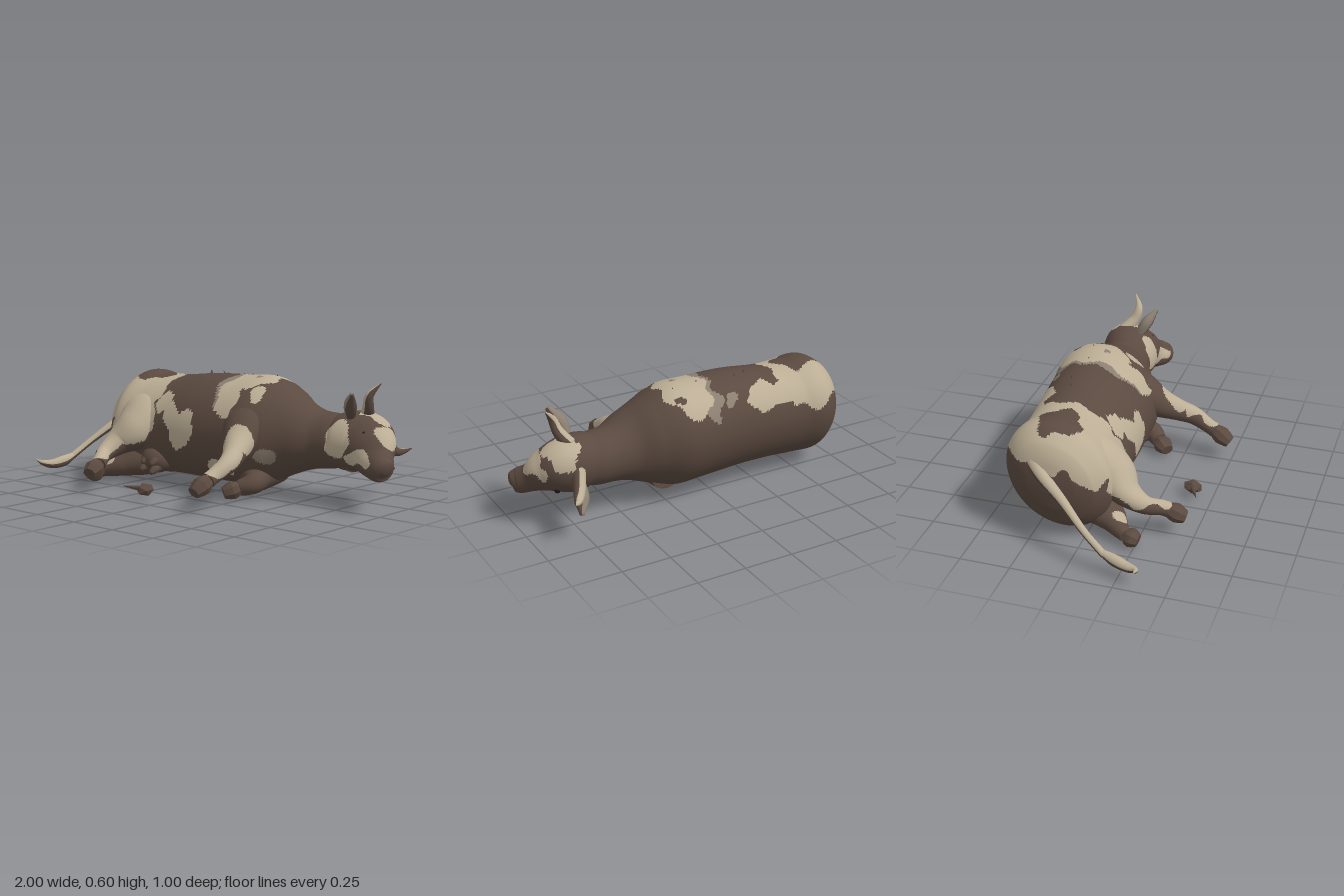
import * as THREE from 'three';

const mat = (name, color) => Object.assign(new THREE.MeshStandardMaterial({ color }), { name });
const brown = mat('brown hide', 0x5b4a40);
const cream = mat('cream hide', 0xbcae95);
const taupe = mat('taupe hide', 0x8b7f71);
const black = mat('eye black', 0x1c1815);
const hide = [brown, cream, taupe];

// Hide patches: ellipsoids x, y, z, rx, ry, rz, index into hide; later ones win
const trunkPatches = [
  [-0.56, 0.49, -0.12, 0.21, 0.18, 0.34, 1], // rump
  [-0.66, 0.40, 0.00, 0.09, 0.10, 0.17, 1],
  [-0.50, 0.35, 0.11, 0.14, 0.14, 0.15, 1], // thigh
  [-0.30, 0.55, -0.37, 0.20, 0.12, 0.08, 1], // spine
  [-0.55, 0.55, -0.15, 0.115, 0.20, 0.105, 0], // hip
  [-0.33, 0.46, 0.08, 0.06, 0.07, 0.07, 1], // flank, running down and forward
  [-0.25, 0.39, 0.13, 0.08, 0.08, 0.08, 1],
  [-0.16, 0.32, 0.13, 0.08, 0.11, 0.09, 1],
  [0.04, 0.50, -0.16, 0.06, 0.14, 0.29, 2],
  [0.14, 0.57, -0.24, 0.12, 0.13, 0.23, 1], // withers
  [0.08, 0.49, 0.00, 0.07, 0.13, 0.14, 1],
  [0.25, 0.51, -0.04, 0.04, 0.06, 0.06, 1],
  [0.08, 0.14, 0.05, 0.08, 0.04, 0.10, 1], // belly
  [0.33, 0.24, 0.03, 0.06, 0.05, 0.05, 2], // chest
  [0.20, 0.57, -0.33, 0.03, 0.05, 0.03, 0],
  [0.14, 0.56, -0.17, 0.025, 0.05, 0.025, 2],
  [-0.05, 0.55, -0.36, 0.04, 0.06, 0.05, 2],
  [0.36, 0.48, -0.20, 0.03, 0.04, 0.03, 2],
];
const limbAndHeadPatches = [
  [0.31, 0.33, 0.18, 0.10, 0.09, 0.09, 1], // front leg
  [0.33, 0.25, 0.28, 0.10, 0.055, 0.08, 1],
  [0.31, 0.20, 0.36, 0.06, 0.035, 0.05, 1],
  [-0.54, 0.28, 0.17, 0.13, 0.08, 0.11, 1], // hind leg
  [-0.54, 0.215, 0.27, 0.10, 0.045, 0.09, 1],
  [-0.50, 0.185, 0.35, 0.05, 0.035, 0.06, 1],
  [-0.63, 0.135, 0.19, 0.06, 0.03, 0.08, 1],
  [0.70, 0.33, -0.07, 0.07, 0.10, 0.09, 1], // cheek
  [0.84, 0.25, -0.06, 0.09, 0.035, 0.08, 1],
  [0.81, 0.41, -0.28, 0.075, 0.10, 0.12, 1], // forehead
  [0.90, 0.33, -0.19, 0.06, 0.07, 0.08, 1], // blaze
  [0.83, 0.36, -0.12, 0.045, 0.05, 0.05, 0], // eye surround
  [0.87, 0.34, -0.21, 0.03, 0.04, 0.03, 0],
];
const patches = [...trunkPatches, ...limbAndHeadPatches];

function hideAt(x, y, z) {
  const wx = x + 0.014 * Math.sin(43 * z + 19 * y) + 0.005 * Math.sin(75 * y);
  const wy = y + 0.014 * Math.sin(37 * x + 23 * z);
  const wz = z + 0.014 * Math.sin(41 * x + 29 * y) + 0.005 * Math.sin(72 * x);
  let found = 0;
  for (const [px, py, pz, rx, ry, rz, c] of patches) {
    if (((wx - px) / rx) ** 2 + ((wy - py) / ry) ** 2 + ((wz - pz) / rz) ** 2 < 1) found = c;
  }
  return found;
}

// Smooth skin over sections [x, y, z, ra, rb]; ra lies along the ref direction
function loft(sections, ref, rings, sides) {
  const s = sections.map(([x, y, z, a, b = a]) => [x, y, z, a, b]);
  const path = new THREE.CatmullRomCurve3(s.map(p => new THREE.Vector3(p[0], p[1], p[2])));
  const radii = new THREE.CatmullRomCurve3(s.map(p => new THREE.Vector3(p[3], p[4], 0)), false, 'catmullrom', 0.5);
  const pos = [], index = [];
  for (let i = -1; i <= rings + 1; i++) {
    const t = Math.min(Math.max(i / rings, 0), 1);
    const closed = i < 0 || i > rings ? 0 : 1;
    const c = path.getPoint(t), r = radii.getPoint(t), d = path.getTangent(t);
    const u = new THREE.Vector3(...ref).addScaledVector(d, -d.dot(new THREE.Vector3(...ref))).normalize();
    const v = new THREE.Vector3().crossVectors(d, u);
    for (let j = 0; j < sides; j++) {
      const a = j / sides * Math.PI * 2;
      const p = c.clone()
        .addScaledVector(u, closed * Math.max(r.x, 0) * Math.cos(a))
        .addScaledVector(v, closed * Math.max(r.y, 0) * Math.sin(a));
      pos.push(p.x, p.y, p.z);
    }
  }
  for (let i = 0; i < rings + 2; i++) for (let j = 0; j < sides; j++) {
    const a = i * sides + j, b = i * sides + (j + 1) % sides;
    index.push(a, b, a + sides, b, b + sides, a + sides);
  }
  const g = new THREE.BufferGeometry();
  g.setAttribute('position', new THREE.Float32BufferAttribute(pos, 3));
  g.setIndex(index);
  g.computeVertexNormals();
  return g;
}

// Sort the faces into one material group per hide colour
function paint(g, pick = hideAt) {
  const p = g.attributes.position, old = g.index.array, bins = [[], [], []];
  const mid = (get, i) => (get(old[i]) + get(old[i + 1]) + get(old[i + 2])) / 3;
  for (let i = 0; i < old.length; i += 3) {
    const c = pick(mid(k => p.getX(k), i), mid(k => p.getY(k), i), mid(k => p.getZ(k), i), i);
    bins[c].push(old[i], old[i + 1], old[i + 2]);
  }
  g.setIndex(bins.flat());
  let start = 0;
  bins.forEach((b, m) => { if (b.length) g.addGroup(start, b.length, m); start += b.length; });
  return g;
}

export function createModel() {
  const cow = new THREE.Group();
  cow.name = 'lyingCow';
  const add = (name, geometry, material) => {
    const m = new THREE.Mesh(geometry, material);
    m.name = name;
    cow.add(m);
    return m;
  };
  const painted = (name, sections, ref, rings, sides) =>
    add(name, paint(loft(sections, ref, rings, sides)), hide);
  // Two-tone skin: one colour on the side facing ref, another behind
  const twoTone = (name, sections, ref, rings, facing, behind) => {
    const sides = 12;
    const pick = (x, y, z, i) => {
      const j = Math.floor(i / 6) % sides;
      return j < 3 || j >= 9 ? facing : behind;
    };
    add(name, paint(loft(sections, ref, rings, sides), pick), hide);
  };

  // Trunk and neck, rolled towards the back
  painted('body', [
    [-0.75, 0.31, -0.14, 0.03], [-0.735, 0.31, -0.14, 0.13, 0.115], [-0.70, 0.31, -0.14, 0.22, 0.19],
    [-0.62, 0.307, -0.14, 0.285, 0.245], [-0.50, 0.30, -0.135, 0.28, 0.24], [-0.35, 0.305, -0.14, 0.275, 0.235],
    [-0.15, 0.315, -0.14, 0.285, 0.245], [0.05, 0.315, -0.15, 0.29, 0.25], [0.20, 0.315, -0.16, 0.295, 0.25],
    [0.32, 0.31, -0.165, 0.25, 0.21], [0.42, 0.305, -0.17, 0.19, 0.175], [0.52, 0.30, -0.185, 0.15, 0.14],
    [0.63, 0.30, -0.195, 0.135, 0.13], [0.74, 0.30, -0.20, 0.10, 0.10],
  ], [0, 1, -0.9], 180, 104);

  // Head, turned so the forehead faces up and back
  painted('head', [
    [0.58, 0.29, -0.18, 0.09, 0.11], [0.66, 0.305, -0.19, 0.13, 0.145], [0.76, 0.305, -0.20, 0.135, 0.16],
    [0.84, 0.275, -0.16, 0.105, 0.13], [0.90, 0.235, -0.115, 0.07, 0.09], [0.95, 0.215, -0.08, 0.063, 0.07],
    [0.98, 0.21, -0.065, 0.048, 0.052], [0.993, 0.205, -0.06, 0.015],
  ], [0, 0.7, 0.7], 80, 64);
  for (const [name, x, y, z] of [['eye', 0.828, 0.363, -0.115], ['farEye', 0.835, 0.215, -0.262]]) {
    add(name, new THREE.SphereGeometry(0.016, 12, 8), black).position.set(x, y, z);
  }

  // Horns and ears, paler behind
  const horn = (name, a, b, c, d) => twoTone(name,
    [[...a, 0.036], [...b, 0.029], [...c, 0.021], [...d, 0.003]], [1, -0.3, 0], 18, 0, 1);
  horn('upperHorn', [0.75, 0.42, -0.25], [0.79, 0.48, -0.20], [0.81, 0.54, -0.18], [0.855, 0.60, -0.21]);
  horn('lowerHorn', [0.75, 0.33, -0.32], [0.78, 0.26, -0.39], [0.81, 0.235, -0.44], [0.85, 0.25, -0.50]);
  const ear = (name, a, b, c) => twoTone(name,
    [[...a, 0.016, 0.018], [...b, 0.036, 0.03], [...c, 0.012, 0.008]], [1, 0.1, 0.5], 16, 0, 2);
  ear('upperEar', [0.72, 0.41, -0.16], [0.745, 0.49, -0.115], [0.785, 0.555, -0.07]);
  ear('lowerEar', [0.73, 0.26, -0.31], [0.76, 0.20, -0.37], [0.79, 0.15, -0.43]);

  // Legs, each ending in a faceted hoof
  const leg = (name, sections, tip) => {
    painted(name, sections, [1, 0, 0], 70, 48);
    const end = sections[sections.length - 1].slice(0, 3);
    const near = end.map((v, i) => v * 0.55 + tip[i] * 0.45);
    const g = loft([[...end, 0.036], [...near, 0.05, 0.048], [...tip, 0.036, 0.03]], [1, 0, 0], 4, 8).toNonIndexed();
    g.computeVertexNormals();
    add(name + 'Hoof', g, brown);
  };
  leg('upperHindLeg', [
    [-0.50, 0.41, -0.16, 0.13, 0.10], [-0.49, 0.34, -0.02, 0.16, 0.14], [-0.495, 0.28, 0.09, 0.125, 0.11],
    [-0.54, 0.215, 0.18, 0.08, 0.065], [-0.545, 0.17, 0.27, 0.045], [-0.505, 0.145, 0.34, 0.038], [-0.49, 0.13, 0.37, 0.038],
  ], [-0.475, 0.095, 0.45]);
  leg('lowerHindLeg', [
    [-0.50, 0.15, -0.18, 0.13, 0.10], [-0.52, 0.125, 0.0, 0.13, 0.10], [-0.58, 0.09, 0.11, 0.08, 0.065],
    [-0.64, 0.065, 0.18, 0.042], [-0.655, 0.055, 0.205, 0.036],
  ], [-0.66, 0.04, 0.27]);
  leg('upperFrontLeg', [
    [0.16, 0.42, -0.12, 0.13, 0.10], [0.20, 0.36, 0.01, 0.125, 0.10], [0.24, 0.29, 0.11, 0.085, 0.075],
    [0.28, 0.24, 0.20, 0.057], [0.305, 0.205, 0.28, 0.047], [0.295, 0.165, 0.36, 0.038], [0.29, 0.145, 0.40, 0.039],
  ], [0.275, 0.095, 0.485]);
  leg('lowerFrontLeg', [
    [0.20, 0.13, -0.18, 0.12, 0.10], [0.25, 0.105, -0.02, 0.085, 0.08], [0.28, 0.08, 0.06, 0.058, 0.053],
    [0.24, 0.06, 0.11, 0.04],
  ], [0.19, 0.038, 0.17]);

  // Udder with teats
  const udder = add('udder', new THREE.SphereGeometry(1, 28, 18), brown);
  udder.scale.set(0.085, 0.075, 0.09);
  udder.position.set(-0.37, 0.135, 0.05);
  for (const [x, y] of [[-0.40, 0.11], [-0.33, 0.10], [-0.39, 0.15], [-0.33, 0.145]]) {
    add('teat', loft([[x, y, 0.09, 0.024], [x, y - 0.015, 0.125, 0.021], [x, y - 0.028, 0.15, 0.01]], [1, 0, 0], 8, 10), brown);
  }

  // Tail and tuft, darker underneath
  twoTone('tail', [
    [-0.66, 0.44, -0.26, 0.05], [-0.735, 0.37, -0.18, 0.035], [-0.79, 0.28, -0.06, 0.024],
    [-0.86, 0.18, 0.07, 0.018], [-0.90, 0.10, 0.18, 0.018],
  ], [0, 1, 0.3], 30, 1, 0);
  twoTone('tailTuft', [
    [-0.895, 0.11, 0.165, 0.016], [-0.905, 0.085, 0.23, 0.03, 0.026], [-0.925, 0.075, 0.30, 0.024],
    [-0.95, 0.085, 0.345, 0.014], [-0.995, 0.10, 0.35, 0.002],
  ], [0, 1, 0], 20, 1, 0);

  // Loose clod with a thin spike beside the belly
  const clod = add('looseClod', new THREE.IcosahedronGeometry(1, 0), brown);
  clod.scale.set(0.04, 0.035, 0.052);
  clod.position.set(-0.13, 0.048, 0.395);
  add('looseSpike', loft([[-0.14, 0.05, 0.395, 0.016], [-0.24, 0.06, 0.44, 0.002]], [0, 1, 0], 4, 6), brown);

  // Short hair tufts along the spine
  for (let i = 0; i < 7; i++) {
    const tuft = add('spineTuft', new THREE.ConeGeometry(0.01, 0.026, 5), brown);
    tuft.position.set(-0.22 + i * 0.07, 0.584 - 0.003 * (i % 2), -0.21 - 0.03 * Math.sin(i * 2.3));
    tuft.rotation.z = 0.5 * Math.sin(i * 1.7);
  }
  return cow;
}
